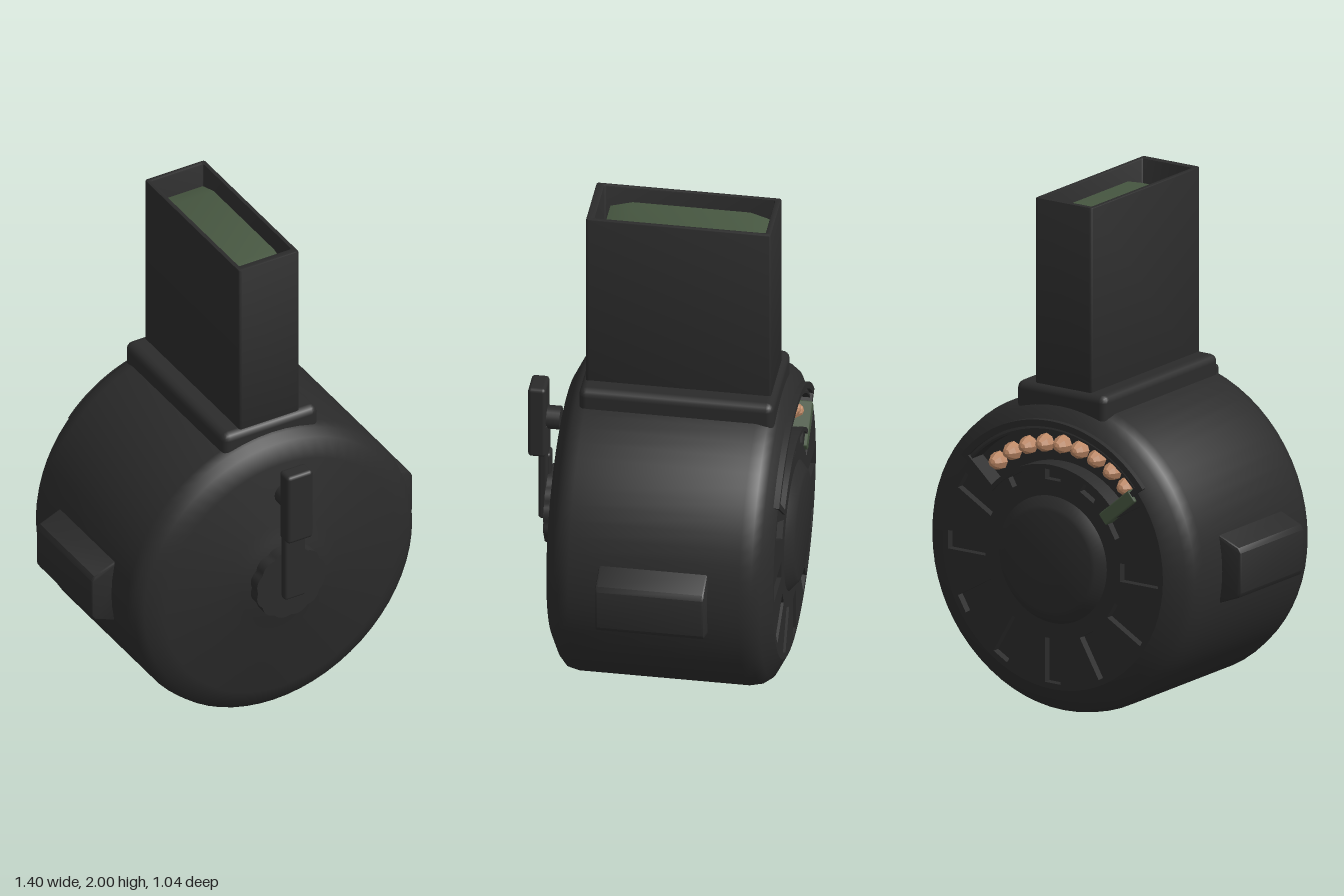
import * as THREE from 'three';
import { toCreasedNormals } from 'three/addons/utils/BufferGeometryUtils.js';
import { RoundedBoxGeometry } from 'three/addons/geometries/RoundedBoxGeometry.js';

const CY = 0.619; // height of the drum axis
const rad = THREE.MathUtils.degToRad;

export function createModel() {
  const model = new THREE.Group();
  const material = (name, color) => {
    const m = new THREE.MeshStandardMaterial({ color });
    m.name = name;
    return m;
  };
  const black = material('black polymer', 0x2b2b2b);
  const green = material('olive green', 0x465640);
  const copper = material('copper', 0xbd8865);

  const add = (name, geometry, mat, x = 0, y = 0, z = 0) => {
    const mesh = new THREE.Mesh(geometry, mat);
    mesh.name = name;
    mesh.position.set(x, y, z);
    model.add(mesh);
    return mesh;
  };
  const box = (name, mat, x0, x1, y0, y1, z0, z1, r = 0.012) =>
    add(name, new RoundedBoxGeometry(x1 - x0, y1 - y0, z1 - z0, 2, r), mat,
      (x0 + x1) / 2, (y0 + y1) / 2, (z0 + z1) / 2);
  // Lathe around the z axis; points are [radius, z] from back to front
  const turned = (points, segments = 64, crease = 38) => {
    const g = new THREE.LatheGeometry(points.map(p => new THREE.Vector2(...p)), segments);
    return toCreasedNormals(g.rotateX(Math.PI / 2), rad(crease));
  };
  const extrude = (shape, depth, bevel = 0) => toCreasedNormals(new THREE.ExtrudeGeometry(shape, {
    depth, curveSegments: 32, bevelEnabled: bevel > 0,
    bevelSize: bevel, bevelThickness: bevel, bevelOffset: -bevel, bevelSegments: 2,
  }), rad(35));
  const arcShape = (r0, r1, a0, a1) => {
    const s = new THREE.Shape();
    s.absarc(0, 0, r1, rad(a0), rad(a1), false);
    s.absarc(0, 0, r0, rad(a1), rad(a0), true);
    s.closePath();
    return s;
  };
  const slotShape = (r0, r1, half, angle) => {
    const a = rad(angle), c = Math.cos(a), s = Math.sin(a);
    return new THREE.Shape([[r0, -half], [r1, -half], [r1, half], [r0, half]]
      .map(([u, v]) => new THREE.Vector2(u * c - v * s, u * s + v * c)));
  };
  const disc = (r, holes) => {
    const s = new THREE.Shape();
    s.absarc(0, 0, r, 0, Math.PI * 2, false);
    s.holes.push(...holes);
    return s;
  };

  // Drum shell with chamfered rims and a raised front boss
  add('drumShell', turned([
    [0.508, -0.485], [0.583, -0.447], [0.606, -0.415], [0.616, -0.37],
    [0.616, 0.28], [0.606, 0.32], [0.578, 0.345], [0.507, 0.38],
    [0.24, 0.381], [0.19, 0.403], [0, 0.405],
  ]), black, 0, CY, 0);

  // Back plates: radial slots and an arched window with a shallow well
  const windowHole = () => arcShape(0.37, 0.5, 42, 138);
  const slots = [];
  for (let a = 0; a < 360; a += 30) {
    const underWindow = a > 45 && a < 135;
    slots.push(slotShape(0.31, underWindow ? 0.35 : 0.485, 0.036, a));
  }
  add('backPlate', extrude(disc(0.508, [windowHole(), ...slots]), 0.03), black, 0, CY, -0.485);
  add('slotFloor', extrude(disc(0.508, [windowHole()]), 0.04), black, 0, CY, -0.455);
  add('wellFloor', new THREE.CircleGeometry(0.508, 48).rotateY(Math.PI), black, 0, CY, -0.416);
  const frame = arcShape(0.355, 0.543, 39.5, 140.5);
  frame.holes.push(arcShape(0.372, 0.518, 42, 138));
  add('windowFrame', extrude(frame, 0.022), black, 0, CY, -0.494);
  add('backHub', turned([
    [0, -0.52], [0.2, -0.52], [0.215, -0.515], [0.25, -0.484],
  ]), black, 0, CY, 0);

  // Row of faceted pointed tips behind the window
  const tip = turned([[0, -0.474], [0.016, -0.468], [0.031, -0.445], [0.037, -0.415]], 8, 15);
  for (let i = 0; i < 9; i++) {
    const a = rad(48 + i * 10.6);
    add('roundTip', tip, copper, Math.cos(a) * 0.438, CY + Math.sin(a) * 0.438, 0);
  }
  const indicatorAngle = rad(140);
  const indicator = add('levelIndicator', new RoundedBoxGeometry(0.18, 0.052, 0.1, 1, 0.006), green,
    Math.cos(indicatorAngle) * 0.395, CY + Math.sin(indicatorAngle) * 0.395, -0.447);
  indicator.rotation.z = indicatorAngle;

  // Side lugs, mirrored
  for (const s of [-1, 1]) {
    const lug = new THREE.Shape([[0.54, 0.465], [0.6, 0.492], [0.688, 0.526], [0.7, 0.545],
      [0.7, 0.702], [0.688, 0.721], [0.6, 0.757], [0.54, 0.782]]
      .map(([x, y]) => new THREE.Vector2(s * x, y)));
    add(s > 0 ? 'leftLug' : 'rightLug', extrude(lug, 0.399, 0.008), black, 0, 0, -0.243);
  }

  // Collar and hollow feed tower
  box('collar', black, -0.208, 0.208, 1.1, 1.277, -0.438, 0.307, 0.03);
  const rect = (x, z0, z1, r) => {
    const s = new THREE.Shape();
    s.moveTo(-x + r, z0);
    s.lineTo(x - r, z0); s.quadraticCurveTo(x, z0, x, z0 + r);
    s.lineTo(x, z1 - r); s.quadraticCurveTo(x, z1, x - r, z1);
    s.lineTo(-x + r, z1); s.quadraticCurveTo(-x, z1, -x, z1 - r);
    s.lineTo(-x, z0 + r); s.quadraticCurveTo(-x, z0, -x + r, z0);
    return s;
  };
  // Shape y becomes -z once the extrusion is stood upright
  const tower = rect(0.131, -0.29, 0.416, 0.012);
  tower.holes.push(rect(0.113, -0.258, 0.393, 0.008));
  add('feedTower', extrude(tower, 0.79, 0.005).rotateX(-Math.PI / 2), black, 0, 1.205, 0);
  const follower = new THREE.Shape([[-0.235, 1.25], [0.38, 1.25], [0.38, 1.91], [0.3, 1.935], [-0.15, 1.935], [-0.235, 1.91]]
    .map(([x, y]) => new THREE.Vector2(x, y)));
  add('follower', extrude(follower, 0.216).rotateY(Math.PI / 2), green, -0.113, 0, 0);

  // Scalloped winding knob
  const knob = new THREE.Shape();
  for (let i = 0; i < 72; i++) {
    const a = (i / 72) * Math.PI * 2;
    const r = 0.143 + 0.008 * Math.abs(Math.sin(a * 6));
    knob[i ? 'lineTo' : 'moveTo'](r * Math.cos(a), r * Math.sin(a));
  }
  add('windingKnob', extrude(knob, 0.05), black, 0, CY + 0.005, 0.4);

  // Crank arm, handle and its peg
  box('crankArm', black, -0.046, 0.046, 0.576, 1.0, 0.45, 0.486);
  box('crankBoss', black, -0.03, 0.03, 0.595, 0.86, 0.44, 0.47);
  box('crankHandle', black, -0.056, 0.056, 0.858, 1.162, 0.456, 0.524, 0.014);
  add('handlePeg', new THREE.CylinderGeometry(0.045, 0.045, 0.06, 20).rotateX(Math.PI / 2), black, 0, 1.01, 0.435);

  return model;
}
